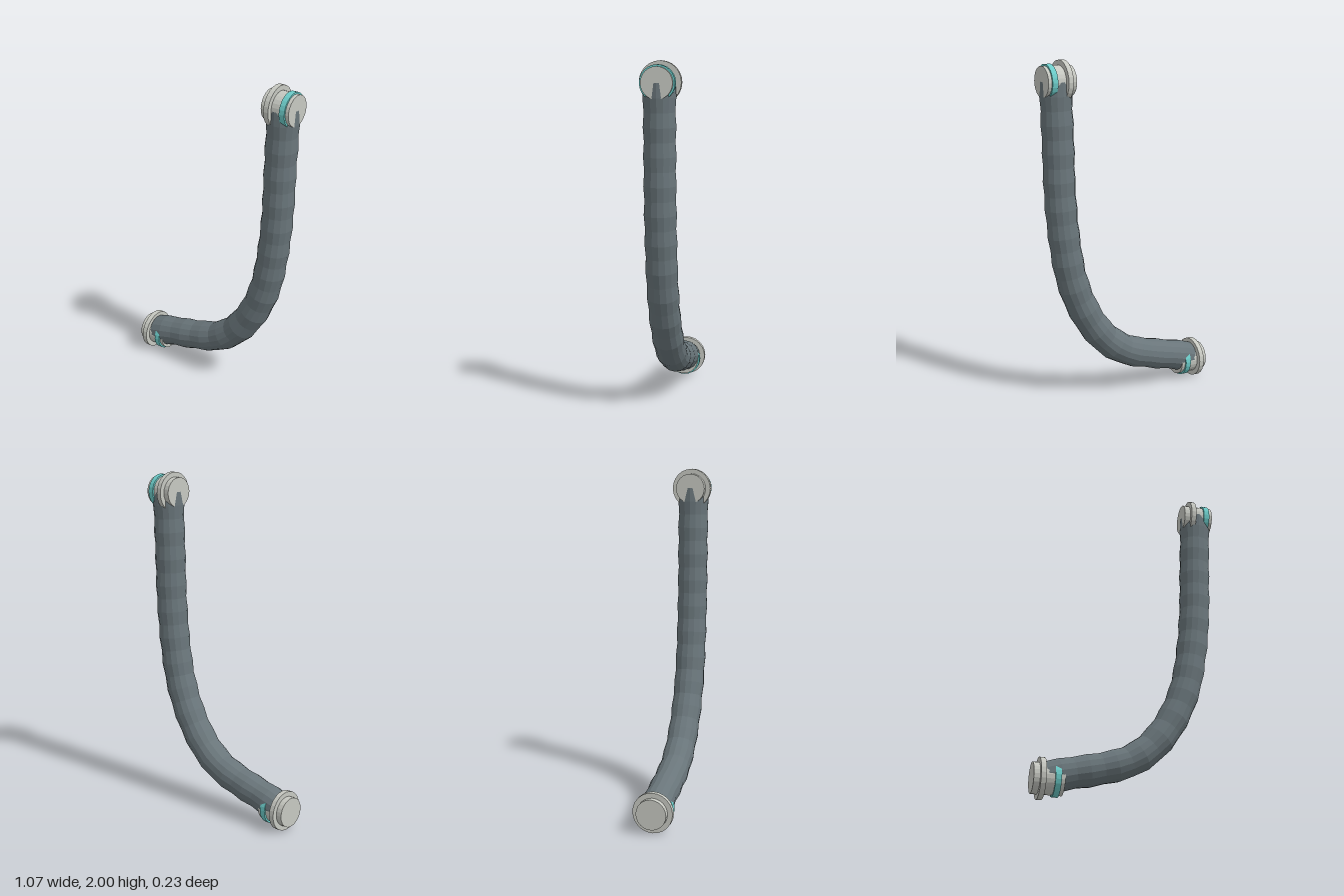
import * as THREE from 'three';

export function createModel() {
  const root = new THREE.Group();
  root.name = 'bentHose';

  const paint = (name, color) => {
    const m = new THREE.MeshStandardMaterial({ color, flatShading: true });
    m.name = name;
    return m;
  };
  const rubber = paint('greyRubber', 0x69757a);
  const metal = paint('paleMetal', 0xc6c8c1);
  const teal = paint('tealBand', 0x6ccbc8);

  // Disc or ring lying along x, from x0 to x1
  const disc = (parent, name, x0, x1, y, radius, material) => {
    const geo = new THREE.CylinderGeometry(radius, radius, x1 - x0, 24);
    geo.rotateZ(-Math.PI / 2);
    const mesh = new THREE.Mesh(geo, material);
    mesh.name = name;
    mesh.position.set((x0 + x1) / 2, y, 0);
    parent.add(mesh);
  };

  // End fitting: collar, wide flange and coloured band
  const fitting = (name, x, y, flangeX, bandX) => {
    const g = new THREE.Group();
    g.name = name;
    disc(g, 'collar', x, x + 0.174, y, 0.088, metal);
    disc(g, 'flange', flangeX - 0.015, flangeX + 0.015, y, 0.117, metal);
    disc(g, 'band', bandX - 0.017, bandX + 0.017, y, 0.098, teal);
    root.add(g);
  };
  fitting('lowerFitting', -0.535, 0.118, -0.485, -0.4);
  fitting('upperFitting', 0.355, 1.883, 0.405, 0.492);

  // Hose: bent tube with a gentle swell on every second ring
  const path = new THREE.CatmullRomCurve3([
    [-0.455, 0.125], [-0.3, 0.165], [-0.17, 0.195], [0.01, 0.255], [0.145, 0.355],
    [0.26, 0.51], [0.35, 0.72], [0.4, 0.98], [0.425, 1.26], [0.432, 1.53],
    [0.441, 1.8], [0.442, 1.885],
  ].map(([x, y]) => new THREE.Vector3(x, y, 0)));

  const rings = 28, sides = 16;
  const geo = new THREE.TubeGeometry(path, rings, 1, sides, false);
  const pos = geo.attributes.position;
  const v = new THREE.Vector3();
  for (let i = 0; i <= rings; i++) {
    const centre = path.getPointAt(i / rings);
    const radius = i % 2 ? 0.093 : 0.087;
    for (let j = 0; j <= sides; j++) {
      const k = i * (sides + 1) + j;
      v.fromBufferAttribute(pos, k).sub(centre).multiplyScalar(i === rings ? 0.09 : radius).add(centre);
      pos.setXYZ(k, v.x, v.y, v.z);
    }
  }
  geo.computeVertexNormals();
  const hose = new THREE.Mesh(geo, rubber);
  hose.name = 'hose';
  root.add(hose);

  return root;
}
